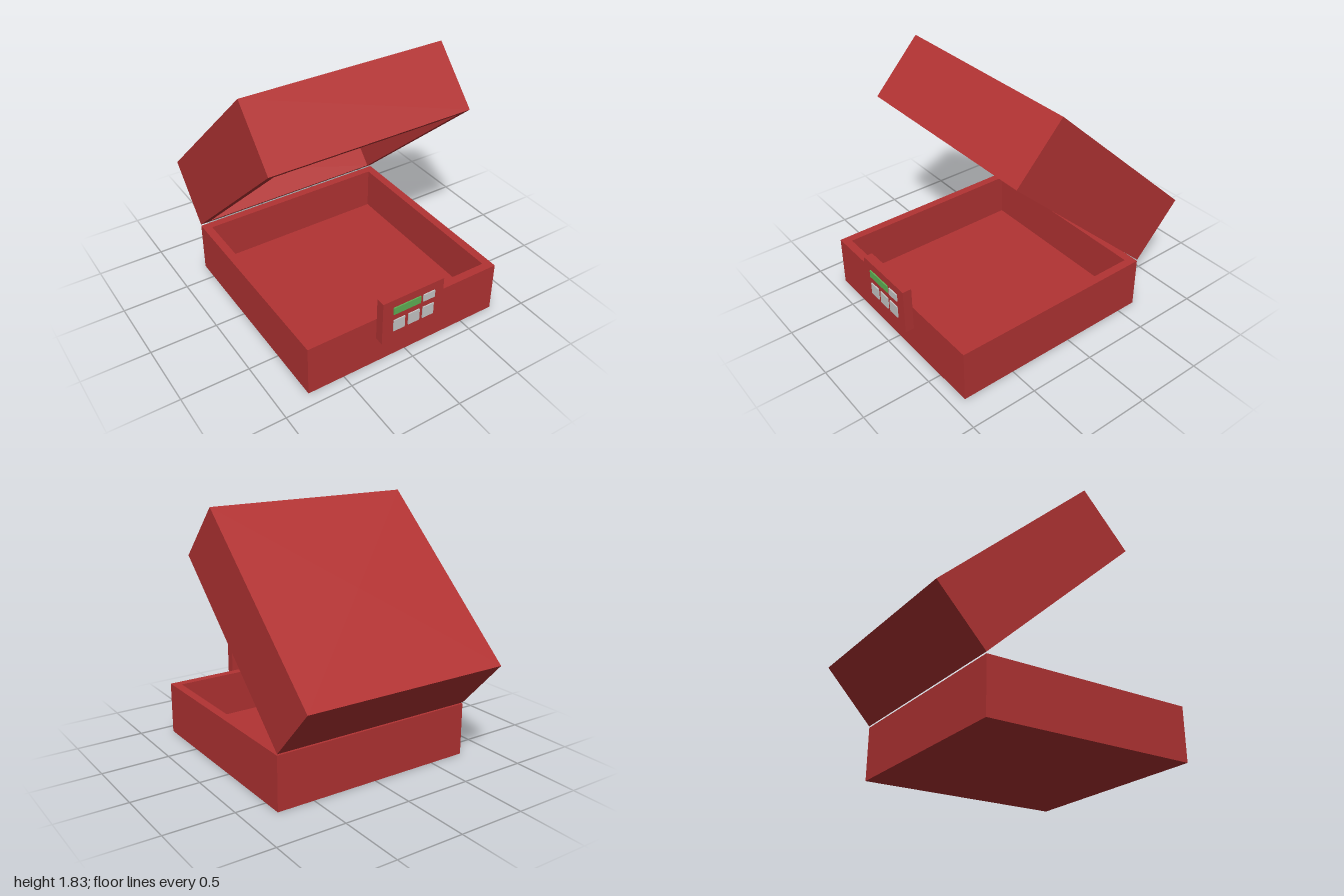
import * as THREE from 'three';

const red = new THREE.MeshStandardMaterial({ color: 0xb23333 });
red.name = 'caseRed';
const grey = new THREE.MeshStandardMaterial({ color: 0xc6c6c6 });
grey.name = 'buttonGrey';
const green = new THREE.MeshStandardMaterial({ color: 0x5fb055 });
green.name = 'screenGreen';

const HALF = 0.776;   // half width and depth of the case
const WALL = 0.062;

// Open square tray standing on y = 0: a four-sided lathe of the wall profile
function trayGeometry(height, floor) {
  const outer = HALF * Math.SQRT2, inner = (HALF - WALL) * Math.SQRT2;
  const profile = [
    [0, 0], [outer, 0], [outer, height], [inner, height], [inner, floor], [0, floor],
  ].map(([x, y]) => new THREE.Vector2(x, y));
  const geometry = new THREE.LatheGeometry(profile, 4, Math.PI / 4).toNonIndexed();
  geometry.computeVertexNormals();
  return geometry;
}

function addMesh(parent, name, geometry, material) {
  const mesh = new THREE.Mesh(geometry, material);
  mesh.name = name;
  parent.add(mesh);
  return mesh;
}

// Box given by its limits on each axis
function addBox(parent, name, material, x0, x1, y0, y1, z0, z1) {
  const mesh = addMesh(parent, name, new THREE.BoxGeometry(x1 - x0, y1 - y0, z1 - z0), material);
  mesh.position.set((x0 + x1) / 2, (y0 + y1) / 2, (z0 + z1) / 2);
}

export function createModel() {
  const model = new THREE.Group();
  model.name = 'openCase';

  // Base tray
  addMesh(model, 'base', trayGeometry(0.39, 0.06), red).position.z = 0.127;

  // Lid: an upside-down tray swung open about the rear edge
  const lidHeight = 0.51;
  const lid = new THREE.Group();
  lid.name = 'lid';
  lid.position.set(0, 0.4, -0.65);
  lid.rotation.x = -0.748;
  const shell = addMesh(lid, 'lidShell', trayGeometry(lidHeight, 0.11), red);
  shell.rotation.x = Math.PI;
  shell.position.set(0, lidHeight, HALF);
  model.add(lid);

  // Control panel in front of the base
  const panel = new THREE.Group();
  panel.name = 'controlPanel';
  addBox(panel, 'panelPlate', red, -0.261, 0.232, 0.24, 0.583, 0.924, 0.99);
  addBox(panel, 'screen', green, -0.178, 0.041, 0.464, 0.52, 0.99, 0.999);
  addBox(panel, 'smallButton', grey, 0.062, 0.156, 0.464, 0.52, 0.99, 0.999);
  for (const x of [-0.13, -0.01, 0.107]) {
    addBox(panel, 'button', grey, x - 0.045, x + 0.045, 0.32, 0.412, 0.99, 0.999);
  }
  model.add(panel);

  return model;
}
